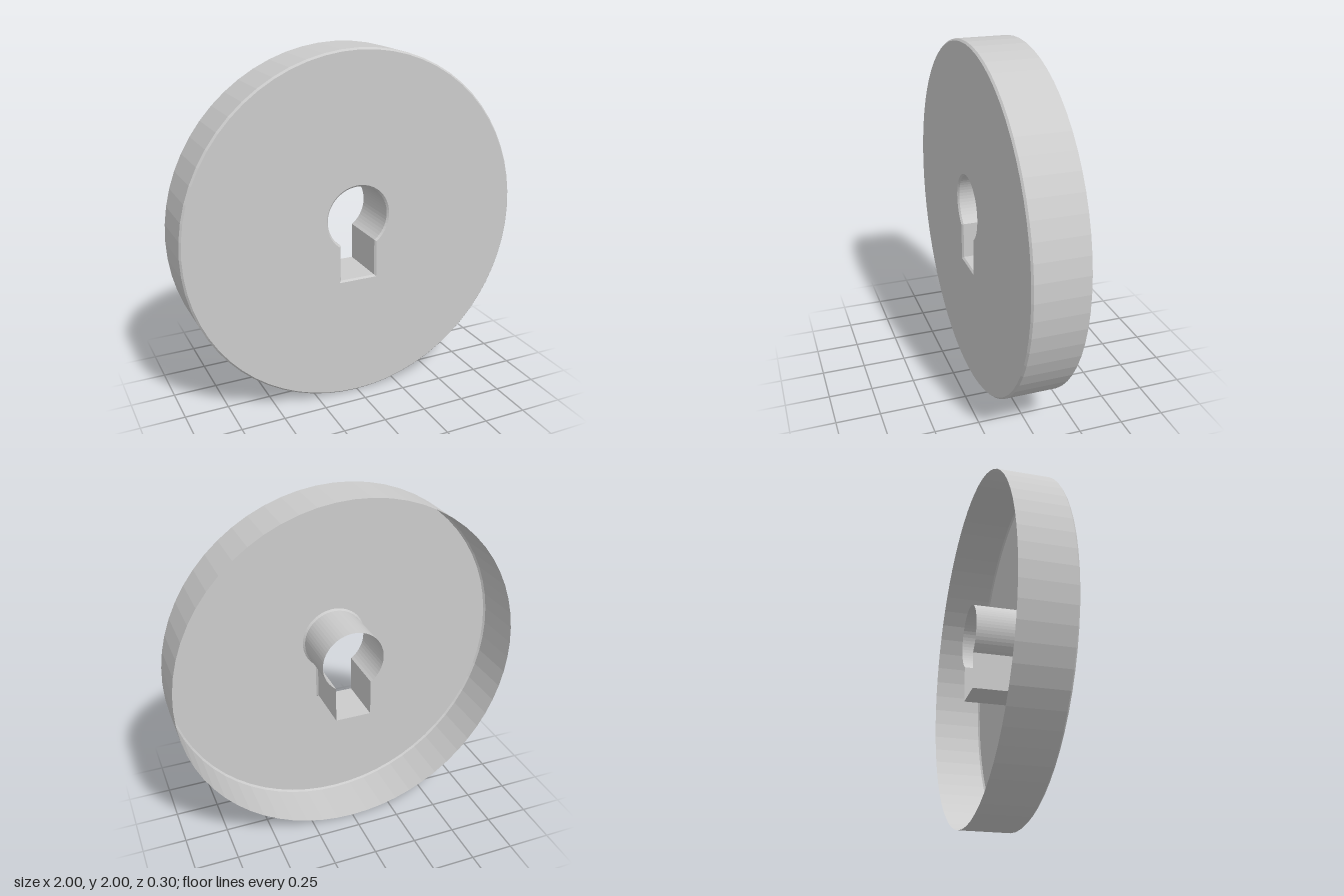
import * as THREE from 'three';

const FRONT = 0.15, BACK = -0.15, BEVEL = 0.01;

// Round outline, counter-clockwise, around the disc centre
function discOutline(radius, sides = 64) {
  return Array.from({ length: sides }, (_, i) => {
    const a = (i / sides) * Math.PI * 2;
    return new THREE.Vector2(radius * Math.cos(a), 1 + radius * Math.sin(a));
  });
}

// Keyhole outline, counter-clockwise: an arc over a square slot, grown by an offset
function keyholeOutline(grow, steps = 48) {
  const r = 0.18 + grow, w = 0.104 + grow, bottom = 0.72 - grow, cy = 1.077;
  const start = -Math.acos(w / r);
  const points = [];
  for (let i = 0; i <= steps; i++) {
    const a = start + (i / steps) * (Math.PI - 2 * start);
    points.push(new THREE.Vector2(r * Math.cos(a), cy + r * Math.sin(a)));
  }
  points.push(new THREE.Vector2(-w, bottom), new THREE.Vector2(w, bottom));
  return points;
}

// Joins closed outlines, listed from back to front, into a band of faces
function band(rings, inward) {
  const pos = [], index = [], n = rings[0].points.length;
  for (const { points, z } of rings) for (const p of points) pos.push(p.x, p.y, z);
  for (let k = 0; k < rings.length - 1; k++) {
    for (let i = 0; i < n; i++) {
      const a = k * n + i, b = k * n + (i + 1) % n, c = b + n, d = a + n;
      if (inward) index.push(a, c, b, a, d, c);
      else index.push(a, b, c, a, c, d);
    }
  }
  const g = new THREE.BufferGeometry();
  g.setAttribute('position', new THREE.Float32BufferAttribute(pos, 3));
  g.setIndex(index);
  const flat = g.toNonIndexed();
  flat.computeVertexNormals();
  return flat;
}

export function createModel() {
  const group = new THREE.Group();
  group.name = 'keyholeDisc';
  const material = new THREE.MeshStandardMaterial({
    color: 0xcccccc, flatShading: true, side: THREE.DoubleSide,
  });
  const add = (name, geometry) => {
    const mesh = new THREE.Mesh(geometry, material);
    mesh.name = name;
    group.add(mesh);
  };

  // Thin front plate with the keyhole cut through
  const face = new THREE.Shape(discOutline(1 - BEVEL));
  face.holes.push(new THREE.Path(keyholeOutline(BEVEL)));
  add('frontPlate', new THREE.ShapeGeometry(face).translate(0, 0, FRONT));

  // Outer rim, open at the back, with a small bevel at the front
  add('outerRim', band([
    { points: discOutline(1), z: BACK },
    { points: discOutline(1), z: FRONT - BEVEL },
    { points: discOutline(1 - BEVEL), z: FRONT },
  ], false));

  // Keyhole sleeve, flaring slightly where it meets the plate
  add('keyholeSleeve', band([
    { points: keyholeOutline(0), z: BACK },
    { points: keyholeOutline(0), z: FRONT - BEVEL },
    { points: keyholeOutline(BEVEL), z: FRONT },
  ], true));

  return group;
}
